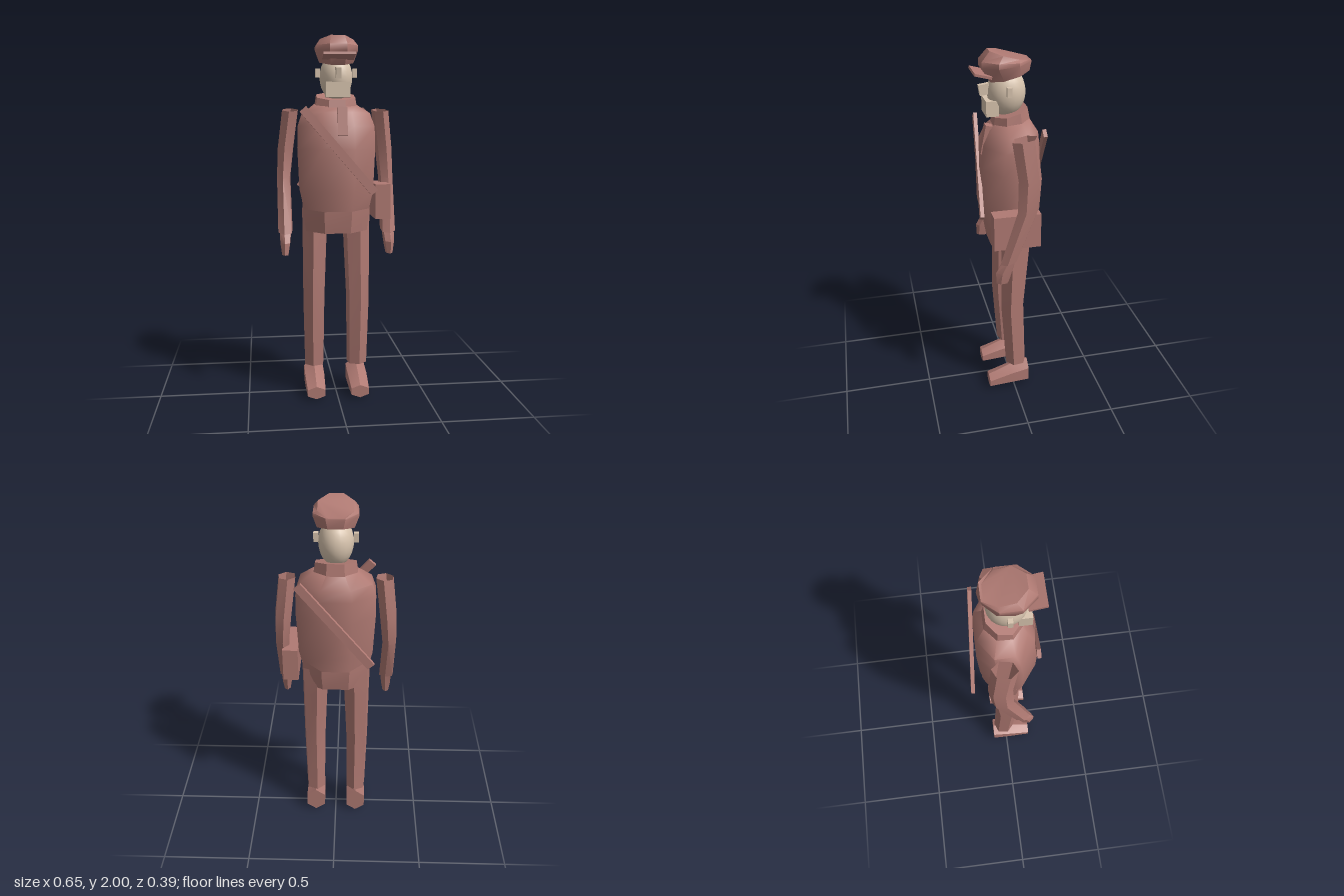
import * as THREE from 'three';
import { toCreasedNormals } from 'three/addons/utils/BufferGeometryUtils.js';

const cloth = new THREE.MeshStandardMaterial({ color: 0xb07a73, side: THREE.DoubleSide });
const skin = new THREE.MeshStandardMaterial({ color: 0xd8c4ae });

// Joins polygon rings listed from bottom to top.
// ring = [y, centreX, centreZ, halfWidth, halfDepth, tilt]
function loft(rings, { sides = 8, phase = Math.PI / sides, crease = 0.3, bottom = true, top = true } = {}) {
  const angles = Array.from({ length: sides }, (_, j) => phase + (j / sides) * Math.PI * 2);
  const maxCos = Math.max(...angles.map((a) => Math.abs(Math.cos(a))));
  const maxSin = Math.max(...angles.map((a) => Math.abs(Math.sin(a))));
  const pos = [], index = [];
  for (const [y, cx, cz, rx, rz, tilt = 0] of rings) {
    for (const a of angles) {
      const dz = (rz * Math.sin(a)) / maxSin;
      pos.push(cx + (rx * Math.cos(a)) / maxCos, y + tilt * dz, cz + dz);
    }
  }
  const last = rings.length - 1;
  for (let i = 0; i < last; i++) {
    for (let j = 0; j < sides; j++) {
      const a = i * sides + j, b = i * sides + ((j + 1) % sides);
      index.push(a, a + sides, b, b, a + sides, b + sides);
    }
  }
  for (let j = 1; j < sides - 1; j++) {
    if (bottom) index.push(0, j, j + 1);
    if (top) index.push(last * sides, last * sides + j + 1, last * sides + j);
  }
  const geo = new THREE.BufferGeometry();
  geo.setAttribute('position', new THREE.Float32BufferAttribute(pos, 3));
  geo.setIndex(index);
  return toCreasedNormals(geo, crease);
}

function add(parent, name, geometry, material = cloth) {
  const mesh = new THREE.Mesh(geometry, material);
  mesh.name = name;
  parent.add(mesh);
  return mesh;
}

function box(parent, name, size, position, material = cloth, tiltX = 0) {
  const mesh = add(parent, name, new THREE.BoxGeometry(...size), material);
  mesh.position.set(...position);
  mesh.rotation.x = tiltX;
  return mesh;
}

// Flat band between two points, facing along z
function strap(parent, name, from, to) {
  const a = new THREE.Vector3(...from), b = new THREE.Vector3(...to);
  const dir = b.clone().sub(a);
  const mesh = add(parent, name, new THREE.BoxGeometry(0.045, dir.length(), 0.02));
  const up = dir.clone().normalize();
  const side = new THREE.Vector3().crossVectors(up, new THREE.Vector3(0, 0, 1)).normalize();
  const out = new THREE.Vector3().crossVectors(side, up);
  mesh.quaternion.setFromRotationMatrix(new THREE.Matrix4().makeBasis(side, up, out));
  mesh.position.copy(a).add(b).multiplyScalar(0.5);
}

// Arm, leg and shoe of the left side
function limbs(name) {
  const g = new THREE.Group();
  g.name = name;
  const hex = { sides: 6, phase: 0.35 };
  add(g, 'sleeve', loft([
    [0.95, 0.285, 0.062, 0.04, 0.048, -0.3],
    [1.24, 0.288, -0.04, 0.038, 0.058, -0.1],
    [1.40, 0.276, -0.05, 0.044, 0.062],
    [1.61, 0.25, -0.025, 0.045, 0.065, -0.15],
  ], { ...hex, bottom: false, top: false }));
  add(g, 'hand', loft([
    [0.825, 0.288, 0.098, 0.018, 0.034],
    [0.89, 0.287, 0.088, 0.028, 0.046],
    [0.96, 0.285, 0.06, 0.033, 0.042, -0.3],
  ], hex));
  add(g, 'trouserLeg', loft([
    [0.16, 0.123, -0.015, 0.055, 0.06],
    [0.55, 0.125, 0.005, 0.062, 0.067],
    [0.90, 0.118, -0.012, 0.07, 0.082],
    [1.07, 0.115, -0.012, 0.075, 0.085],
  ], { ...hex, bottom: false, top: false }));
  // shoe: lofted upright, then laid forward
  const shoe = loft([
    [-0.085, 0.123, -0.08, 0.055, 0.08],
    [0.02, 0.123, -0.066, 0.055, 0.064],
    [0.15, 0.123, -0.04, 0.05, 0.036],
  ], { sides: 6, phase: Math.PI / 6 });
  add(g, 'shoe', shoe.rotateX(Math.PI / 2));
  return g;
}

export function createModel() {
  const model = new THREE.Group();
  model.name = 'uniformedFigure';

  // Body
  add(model, 'jacket', loft([
    [1.075, 0, 0.005, 0.18, 0.135, -0.1],
    [1.17, 0, 0.012, 0.2, 0.15],
    [1.40, 0, 0.008, 0.21, 0.157],
    [1.52, 0, 0, 0.208, 0.145],
    [1.59, 0, -0.015, 0.185, 0.125, 0.05],
    [1.64, 0, -0.01, 0.115, 0.09, -0.1],
  ], { crease: 1.1 }));
  add(model, 'hips', loft([
    [0.95, 0, 0, 0.17, 0.115, -0.1],
    [1.03, 0, 0, 0.18, 0.128, -0.1],
    [1.10, 0, 0.002, 0.185, 0.132, -0.1],
  ]));
  add(model, 'collar', loft([
    [1.62, 0, -0.005, 0.115, 0.098, -0.2],
    [1.685, 0, -0.005, 0.105, 0.085, -0.28],
  ]));
  box(model, 'jacketTab', [0.052, 0.155, 0.04], [0.022, 1.545, 0.125], cloth, -0.2);

  // Head
  const head = add(model, 'head', new THREE.SphereGeometry(1, 20, 14), skin);
  head.scale.set(0.09, 0.125, 0.1);
  head.position.set(0, 1.785, 0.012);
  box(model, 'chin', [0.13, 0.08, 0.065], [0, 1.715, 0.097], skin);
  box(model, 'nose', [0.028, 0.055, 0.055], [0, 1.803, 0.127], skin, 0.15);
  for (const s of [1, -1]) box(model, 'ear', [0.025, 0.048, 0.025], [s * 0.101, 1.807, 0.018], skin);

  // Cap
  add(model, 'cap', loft([
    [1.87, 0, 0, 0.092, 0.1, -0.25],
    [1.93, 0, 0.02, 0.113, 0.127, -0.1],
    [1.95, 0, 0.02, 0.112, 0.125, 0],
    [1.973, 0, 0.005, 0.09, 0.098, 0.27],
  ], { crease: 0.7 }));
  box(model, 'visor', [0.17, 0.013, 0.09], [0, 1.888, 0.145], cloth, -0.25);

  // Straps and bag
  strap(model, 'frontStrap', [-0.19, 1.613, 0.145], [0.19, 1.17, 0.185]);
  strap(model, 'backStrap', [0.19, 1.613, -0.145], [-0.19, 1.17, -0.187]);
  box(model, 'shoulderBag', [0.083, 0.19, 0.25], [0.244, 1.115, 0.015]);

  // Mirrored limbs
  model.add(limbs('leftLimbs'));
  const right = limbs('rightLimbs');
  right.scale.x = -1;
  model.add(right);
  return model;
}
